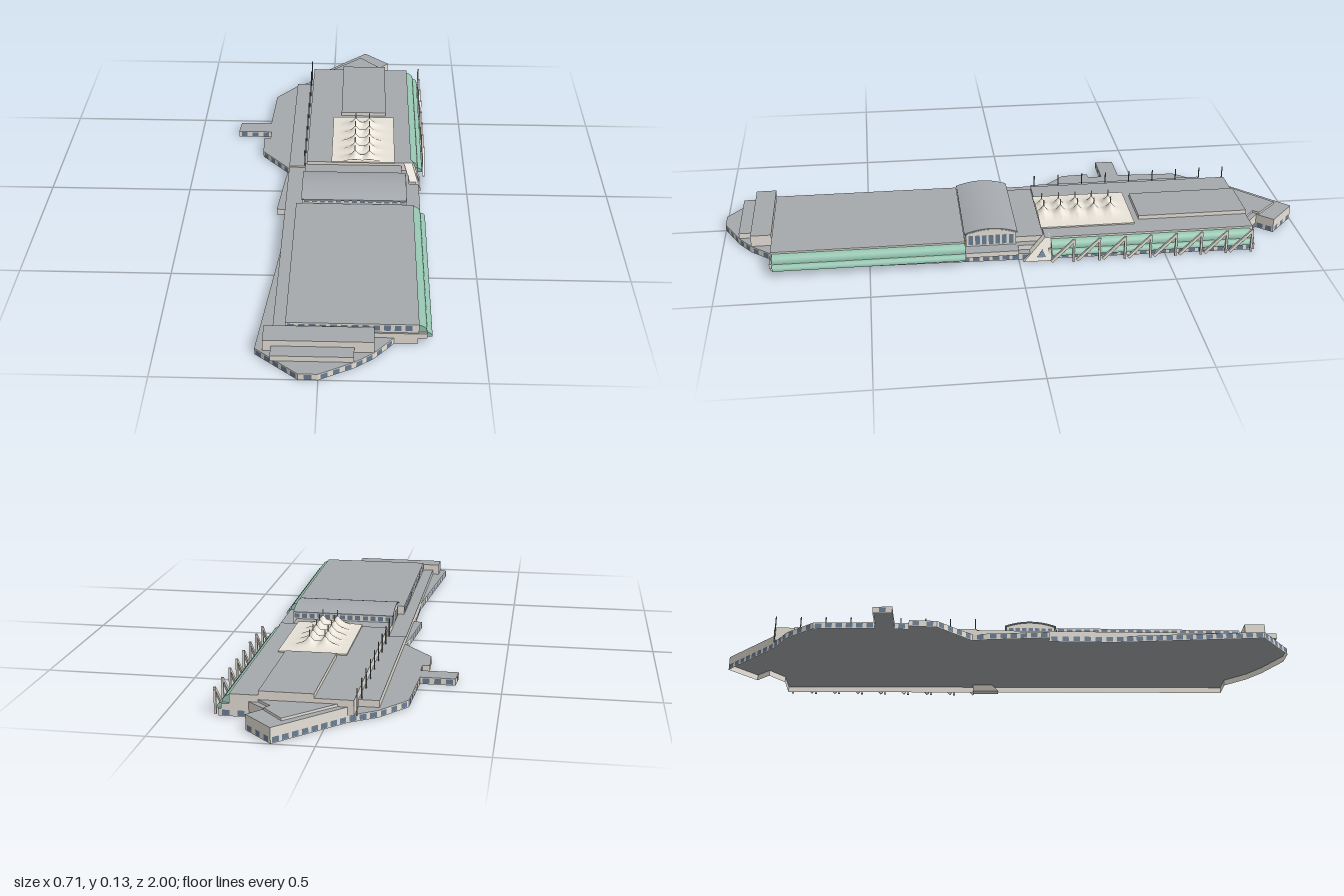
import * as THREE from 'three';
import { mergeGeometries, toCreasedNormals } from 'three/addons/utils/BufferGeometryUtils.js';

const material = (name, color) => {
  const m = new THREE.MeshStandardMaterial({ color });
  m.name = name;
  return m;
};

export function createModel() {
  const group = new THREE.Group();
  const roof = material('roof grey', 0xa5a9ad);
  const wall = material('wall cream', 0xeae5db);
  const glass = material('window blue', 0x6a7f98);
  const green = material('vault green', 0x94c4b0);
  const canvas = material('canvas', 0xf2ece0);
  const steel = material('mast steel', 0x75787c);
  canvas.side = THREE.DoubleSide;
  wall.side = THREE.DoubleSide;

  const add = (name, geometry, mat) => {
    const mesh = new THREE.Mesh(geometry, mat);
    mesh.name = name;
    group.add(mesh);
    return mesh;
  };
  const rect = (x0, x1, z0, z1) => [[x0, z0], [x1, z0], [x1, z1], [x0, z1]];

  // Storey from a plan outline of [x, z] points: grey caps, cream walls
  const tier = (name, pts, y0, y1) => {
    const shape = new THREE.Shape(pts.map(([x, z]) => new THREE.Vector2(x, -z)));
    const g = new THREE.ExtrudeGeometry(shape, { depth: y1 - y0, bevelEnabled: false });
    g.rotateX(-Math.PI / 2).translate(0, y0, 0);
    add(name, g, [roof, wall]);
  };

  // Row of panels along a wall; outward is to the left of a -> b seen from above
  const paneRow = (a, b, y0, y1, pitch = 0.033, fill = 0.68, out = 0.001) => {
    const dx = b[0] - a[0], dz = b[1] - a[1], len = Math.hypot(dx, dz);
    const count = Math.floor(len / pitch);
    const nx = dz / len, nz = -dx / len, panes = [];
    for (let i = 0; i < count; i++) {
      const t = (i + 0.5) / count;
      const g = new THREE.PlaneGeometry(pitch * fill, y1 - y0);
      g.rotateY(Math.atan2(nx, nz));
      g.translate(a[0] + dx * t + nx * out, (y0 + y1) / 2, a[1] + dz * t + nz * out);
      panes.push(g);
    }
    return panes;
  };
  const windows = (name, rows) => add(name, mergeGeometries(rows.flat()), glass);

  // Ground storey, clockwise seen from above: thin roof slab on walls, open below
  const ground = [
    [0.13, -1], [0.225, -0.91], [0.18, -0.86], [0.24, -0.81], [0.335, -0.81], [0.297, 0.83],
    [0.225, 0.83], [0.165, 0.9], [0.105, 0.945], [0, 1], [-0.06, 1], [-0.195, 0.89],
    [-0.145, 0.38], [-0.145, 0.15], [-0.175, 0.15], [-0.155, -0.06], [-0.145, -0.115],
    [-0.25, -0.235], [-0.255, -0.33], [-0.23, -0.33], [-0.23, -0.38], [-0.355, -0.38],
    [-0.35, -0.445], [-0.235, -0.445], [-0.225, -0.655], [-0.145, -0.755], [-0.06, -0.81],
  ];
  const edges = ground.map((p, i) => [p, ground[(i + 1) % ground.length]]);
  const blankEdge = 5; // plain wall at the south-east corner
  tier('groundRoof', ground, 0.021, 0.023);
  add('groundWalls', mergeGeometries(edges.flatMap(([a, b]) =>
    paneRow(a, b, 0, 0.021, Math.hypot(b[0] - a[0], b[1] - a[1]), 1, 0))), wall);
  windows('groundWindows', edges.filter((_, i) => i !== blankEdge)
    .map(([a, b]) => paneRow(a, b, 0.003, 0.02)));

  // Middle storeys
  tier('southMiddleStorey', rect(-0.145, 0.325, 0, 0.83), 0.023, 0.04);
  tier('linkMiddleStorey', rect(-0.145, 0.29, -0.1, 0), 0.023, 0.04);
  tier('northMiddleStorey', rect(-0.08, 0.325, -0.81, -0.1), 0.023, 0.04);
  tier('westTerrace', rect(-0.145, -0.08, -0.73, -0.1), 0.023, 0.045);
  tier('linkBlock', rect(-0.085, 0.265, -0.1, 0.01), 0.04, 0.06);

  // Stepped blocks at the south end
  tier('southBlock', rect(-0.17, 0.165, 0.83, 0.9), 0.023, 0.063);
  tier('southStep', rect(-0.145, 0.105, 0.9, 0.945), 0.023, 0.042);

  // Pointed blocks at the north end
  tier('northPoint', [[0.13, -1], [0.225, -0.91], [0.18, -0.86], [0.24, -0.81], [-0.06, -0.81]],
    0.023, 0.05);
  tier('northPointRoof', [[0.11, -0.945], [0.18, -0.87], [0.165, -0.85], [0.21, -0.81], [-0.03, -0.81]],
    0.05, 0.058);

  // Exhibition halls
  tier('southHall', rect(-0.105, 0.3, 0.18, 0.825), 0.04, 0.071);
  windows('southHallWindows', [
    paneRow([0.285, 0.825], [-0.105, 0.825], 0.047, 0.067, 0.03),
    paneRow([-0.105, 0.825], [-0.105, 0.18], 0.047, 0.067, 0.03),
  ]);
  tier('northHall', rect(-0.08, 0.3, -0.81, -0.09), 0.04, 0.072);
  tier('northRoofDeck', rect(0.04, 0.21, -0.81, -0.43), 0.072, 0.086);

  // Arched hall across the middle
  const arc = (half, y, rise) => Array.from({ length: 17 }, (_, i) => {
    const t = i / 8 - 1;
    return new THREE.Vector2(t * half, y + rise * (1 - t * t));
  });
  const alongX = (points, length, x) => {
    const g = new THREE.ExtrudeGeometry(new THREE.Shape(points), { depth: length, bevelEnabled: false });
    return toCreasedNormals(g.rotateY(Math.PI / 2).translate(x, 0, 0.09), 0.5);
  };
  add('archedHall', alongX(
    [new THREE.Vector2(-0.085, 0.04), ...arc(0.085, 0.084, 0.016),
      new THREE.Vector2(0.085, 0.04)].reverse(), 0.36, -0.083), wall);
  add('archedRoof', alongX(
    [...arc(0.09, 0.087, 0.017).reverse(), ...arc(0.09, 0.083, 0.017)], 0.363, -0.087), roof);
  windows('archedHallWindows', [
    paneRow([0.277, 0.01], [0.277, 0.17], 0.045, 0.08, 0.022, 0.7),
    paneRow([-0.083, 0.17], [-0.083, 0.01], 0.045, 0.08, 0.022, 0.7),
    paneRow([0.277, 0.175], [-0.083, 0.175], 0.073, 0.083, 0.026, 0.7),
    paneRow([-0.083, 0.005], [0.277, 0.005], 0.064, 0.08, 0.026, 0.7),
  ]);

  // Two stepped quarter vaults along the east side of each hall
  const quarterVault = (name, x, y, rx, ry, z0, z1) => {
    const g = new THREE.CylinderGeometry(1, 1, z1 - z0, 10, 1, false, Math.PI / 2, Math.PI / 2);
    g.rotateX(Math.PI / 2).scale(rx, ry, 1).translate(x, y, (z0 + z1) / 2);
    add(name, g, green);
  };
  for (const [side, z0, z1] of [['south', 0.18, 0.82], ['north', -0.8, -0.11]]) {
    quarterVault(side + 'UpperVault', 0.3, 0.04, 0.025, 0.025, z0, z1);
    quarterVault(side + 'LowerVault', 0.324, 0.022, 0.018, 0.017, z0, z1);
  }

  // East frames: upright post, sloping brace
  const bar = (a, b, depth) => {
    const length = Math.hypot(b[0] - a[0], b[1] - a[1]);
    const g = new THREE.BoxGeometry(0.007, length, depth);
    g.rotateX(Math.atan2(b[0] - a[0], b[1] - a[1]));
    return g.translate(0.3475, (a[1] + b[1]) / 2, (a[0] + b[0]) / 2);
  };
  for (let i = 0; i < 8; i++) {
    const z = -0.795 + i * 0.0875;
    add('eastFrame', mergeGeometries([
      bar([z, 0], [z, 0.085], 0.007),
      bar([z + 0.075, 0.004], [z, 0.081], 0.01),
    ]), wall);
  }

  // Entrance gable leaning back against the east side, with a three-sided window
  const gable = (points, depth, x) => {
    const shape = new THREE.Shape(points.map(([z, y]) => new THREE.Vector2(-z, y)));
    const g = new THREE.ExtrudeGeometry(shape, { depth, bevelEnabled: false });
    g.rotateY(Math.PI / 2);
    const p = g.attributes.position;
    for (let i = 0; i < p.count; i++) p.setX(i, p.getX(i) + x - 0.43 * p.getY(i));
    g.computeVertexNormals();
    return g;
  };
  add('entranceGable', gable([[-0.015, 0], [-0.11, 0], [-0.11, 0.072], [-0.09, 0.072]], 0.03, 0.304), wall);
  add('gableWindow', gable([[-0.06, 0.012], [-0.092, 0.012], [-0.08, 0.036]], 0.002, 0.333), glass);

  // Canvas roof: a ridge across each row, drawn up to two peaks
  const peakXs = [0.095, 0.147], peakZs = [-0.107, -0.166, -0.225, -0.283, -0.342];
  const tent = new THREE.PlaneGeometry(0.23, 0.325, 46, 65);
  tent.rotateX(-Math.PI / 2).translate(0.125, 0, -0.2475);
  const pos = tent.attributes.position;
  for (let i = 0; i < pos.count; i++) {
    const x = pos.getX(i), z = pos.getZ(i);
    const across = Math.max(0, 1 - ((x - 0.12) / 0.085) ** 2);
    let lift = 0;
    for (const pz of peakZs) {
      lift = Math.max(lift, 0.022 * across * Math.exp(-Math.abs(z - pz) / 0.013));
      for (const px of peakXs) {
        lift = Math.max(lift, 0.041 * Math.exp(-Math.hypot((x - px) * 0.8, z - pz) / 0.016));
      }
    }
    pos.setY(i, 0.077 + lift);
  }
  tent.computeVertexNormals();
  add('canvasRoof', tent, canvas);
  add('canvasCurb', new THREE.BoxGeometry(0.23, 0.005, 0.325).translate(0.125, 0.0742, -0.2475), canvas);
  for (const x of peakXs) for (const z of peakZs) {
    add('canvasMast', new THREE.CylinderGeometry(0.002, 0.002, 0.05, 8).translate(x, 0.108, z), wall);
  }

  // Row of masts along the west edge of the north hall
  for (let i = 0; i < 9; i++) {
    const mast = new THREE.CylinderGeometry(0.002, 0.002, 0.088, 8);
    add('westMast', mast.translate(-0.088, 0.066, -0.805 + i * 0.0875), steel);
  }
  return group;
}
